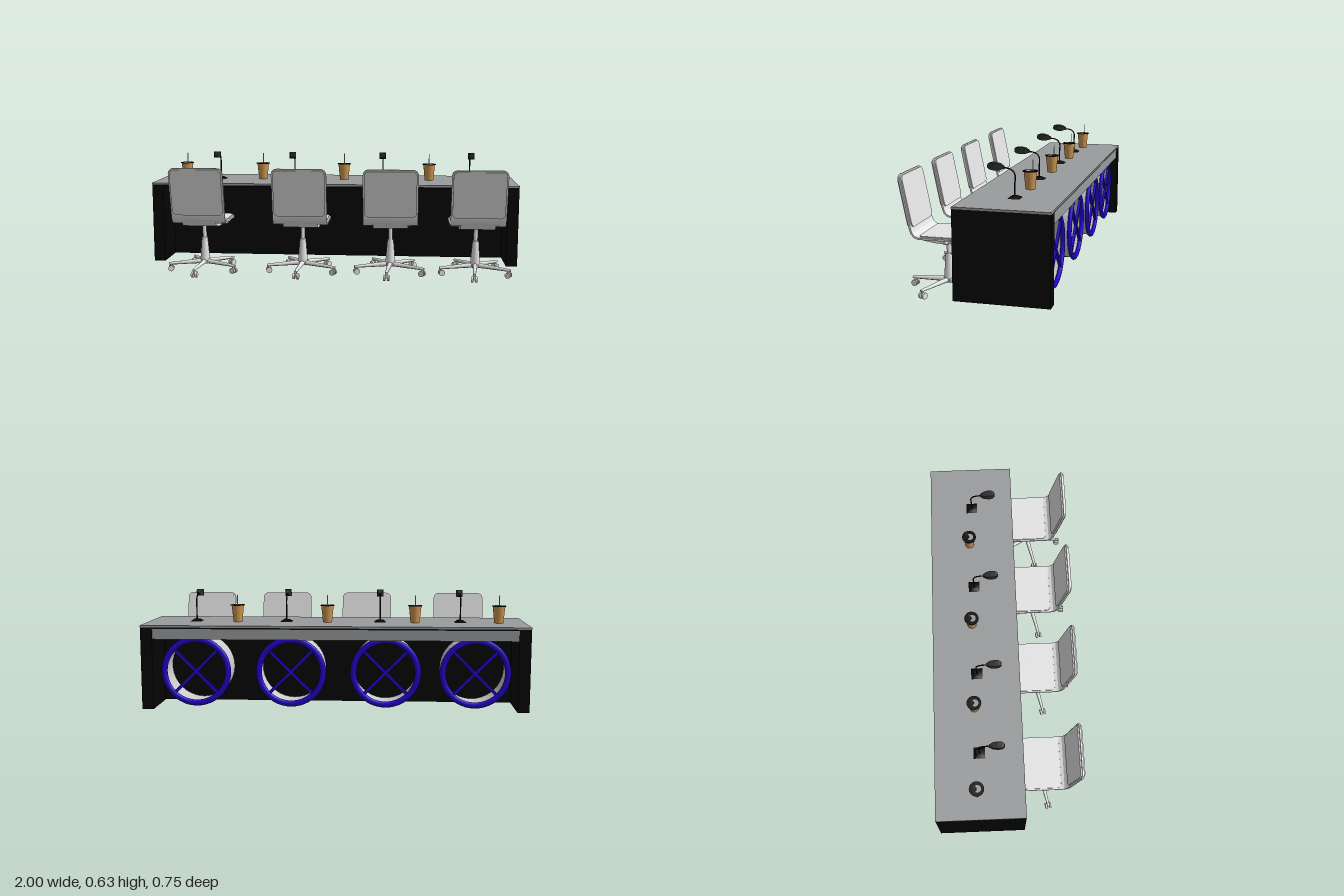
import * as THREE from 'three';

const mat = (name, color, side = THREE.FrontSide) => {
  const m = new THREE.MeshStandardMaterial({ color, side });
  m.name = name;
  return m;
};
const M = {
  black: mat('black panel', 0x040404),
  top: mat('table grey', 0x999b9d),
  frame: mat('chair frame grey', 0xe6e6e6),
  pad: mat('chair pad grey', 0xe4e4e4),
  blue: mat('ring blue', 0x2200cc),
  drum: mat('drum grey', 0xcccccc, THREE.DoubleSide),
  cup: mat('cup tan', 0xd39a52),
  mic: mat('microphone dark grey', 0x303032),
};

function add(parent, name, geo, material, x = 0, y = 0, z = 0) {
  const m = new THREE.Mesh(geo, material);
  m.name = name;
  m.position.set(x, y, z);
  parent.add(m);
  return m;
}
const box = (w, h, d) => new THREE.BoxGeometry(w, h, d);
const cyl = (rt, rb, h, n = 16) => new THREE.CylinderGeometry(rt, rb, h, n);

function group(parent, name, x = 0, y = 0, z = 0) {
  const g = new THREE.Group();
  g.name = name;
  g.position.set(x, y, z);
  parent.add(g);
  return g;
}

// Tapered rod from point a to point b
function rod(parent, name, a, b, ra, rb, material, n = 8) {
  const A = new THREE.Vector3(...a), B = new THREE.Vector3(...b);
  const dir = B.clone().sub(A);
  const m = add(parent, name, cyl(rb, ra, dir.length(), n), material);
  m.position.copy(A).add(B).multiplyScalar(0.5);
  m.quaternion.setFromUnitVectors(new THREE.Vector3(0, 1, 0), dir.normalize());
}

// Side profile of the chair shell (z, y), from top of back to front of seat
const profile = new THREE.Path();
profile.moveTo(0.190, 0.577);
profile.lineTo(0.139, 0.325);
profile.quadraticCurveTo(0.130, 0.281, 0.095, 0.281);
profile.lineTo(-0.145, 0.281);

// Bent slab following the profile between u0 and u1, with rounded ends
function slab(u0, u1, W, lo, hi, r) {
  const n = 48, len = profile.getLength() * (u1 - u0), pos = [], idx = [];
  for (let k = 0; k <= n; k++) {
    const s = (1 - Math.cos(Math.PI * k / n)) / 2, u = u0 + (u1 - u0) * s;
    const p = profile.getPointAt(u), t = profile.getTangentAt(u);
    const d = Math.min(r, s * len, (1 - s) * len);
    const w = W - r + Math.sqrt(Math.max(0, r * r - (r - d) ** 2));
    for (const [x, o] of [[-w, lo], [w, lo], [w, hi], [-w, hi]]) {
      pos.push(x, p.y - t.x * o, p.x + t.y * o);
    }
    if (k < n) for (let i = 0; i < 4; i++) {
      const a = k * 4 + i, b = k * 4 + (i + 1) % 4;
      idx.push(a, a + 4, b + 4, a, b + 4, b);
    }
  }
  const e = n * 4;
  idx.push(0, 1, 2, 0, 2, 3, e, e + 2, e + 1, e, e + 3, e + 2);
  const g = new THREE.BufferGeometry();
  g.setAttribute('position', new THREE.Float32BufferAttribute(pos, 3));
  g.setIndex(idx);
  const flat = g.toNonIndexed();
  flat.computeVertexNormals();
  return flat;
}

function chair(parent, x) {
  const c = group(parent, 'chair', x, 0, 0.175);
  add(c, 'chairShell', slab(0, 1, 0.142, -0.006, 0.003, 0.03), M.frame);
  add(c, 'backPadInner', slab(0.012, 0.45, 0.134, 0.004, 0.011, 0.025), M.pad);
  add(c, 'backPadOuter', slab(0.012, 0.45, 0.134, -0.013, -0.007, 0.025), M.pad);
  add(c, 'seatPad', slab(0.565, 0.99, 0.134, 0.004, 0.010, 0.025), M.pad);

  // Mechanism under the seat
  const s = new THREE.Shape([[0.13, 0.285], [0.11, 0.262], [0.04, 0.25], [-0.03, 0.247],
    [-0.06, 0.272], [0.09, 0.274]].map(p => new THREE.Vector2(-p[0], p[1])));
  const mech = add(c, 'seatMechanism',
    new THREE.ExtrudeGeometry(s, { depth: 0.18, bevelEnabled: false }), M.frame, -0.09);
  mech.rotation.y = Math.PI / 2;
  for (const sx of [-1, 1]) {
    rod(c, 'knob', [sx * 0.09, 0.26, -0.022], [sx * 0.125, 0.26, -0.022], 0.01, 0.007, M.frame, 6);
  }

  // Column and five-legged base, turned slightly
  add(c, 'gasLift', cyl(0.011, 0.011, 0.08), M.frame, 0, 0.215, 0);
  add(c, 'columnSleeve', cyl(0.016, 0.026, 0.12), M.frame, 0, 0.122, 0);
  add(c, 'hub', cyl(0.026, 0.024, 0.025), M.frame, 0, 0.052, 0);
  for (let i = 0; i < 5; i++) {
    const leg = group(c, 'leg');
    leg.rotation.y = i * Math.PI * 2 / 5 - 0.096;
    rod(leg, 'legArm', [0, 0.052, 0.01], [0, 0.041, 0.195], 0.014, 0.007, M.frame, 6);
    add(leg, 'casterStem', cyl(0.006, 0.006, 0.03, 8), M.frame, 0, 0.028, 0.183);
    for (const sx of [-1, 1]) {
      const w = add(leg, 'casterWheel', cyl(0.016, 0.016, 0.011, 12), M.frame, sx * 0.01, 0.016, 0.183);
      w.rotation.z = Math.PI / 2;
    }
  }
}

function cup(parent, x) {
  const c = group(parent, 'cup', x, 0.463, -0.165);
  add(c, 'cupBody', cyl(0.033, 0.024, 0.088, 20), M.cup, 0, 0.044, 0);
  add(c, 'cupLid', cyl(0.038, 0.038, 0.003, 20), M.black, 0, 0.0885, 0);
  const patch = add(c, 'lidOpening', new THREE.CircleGeometry(0.019, 16, Math.PI * 0.8, Math.PI * 1.4),
    M.top, 0, 0.0905, 0.004);
  patch.rotation.x = -Math.PI / 2;
  add(c, 'straw', cyl(0.0025, 0.0025, 0.055, 8), M.frame, 0, 0.117, -0.012);
}

function microphone(parent, x) {
  const g = group(parent, 'microphone', x, 0.463, -0.147);
  const base = add(g, 'microphoneBase', cyl(0.018, 0.042, 0.012, 4), M.black, 0, 0.006, 0);
  base.rotation.y = Math.PI / 4;
  const path = new THREE.CatmullRomCurve3([[0, 0.01, 0], [0, 0.06, 0], [0, 0.112, 0],
    [0, 0.13, 0.012], [0, 0.138, 0.03], [0, 0.141, 0.055]].map(p => new THREE.Vector3(...p)));
  add(g, 'gooseneck', new THREE.TubeGeometry(path, 24, 0.0035, 8), M.black);
  // Square-sectioned bulb
  const bulb = [[0, 0], [0.009, 0], [0.021, 0.02], [0.025, 0.045], [0.022, 0.066], [0.013, 0.078], [0, 0.079]];
  const geo = new THREE.LatheGeometry(bulb.map(p => new THREE.Vector2(...p)), 4, Math.PI / 4).toNonIndexed();
  geo.computeVertexNormals();
  const head = add(g, 'microphoneHead', geo, M.mic, 0, 0.142, 0.052);
  head.rotation.x = Math.PI / 2 - 0.09;
}

// Open drum with a blue crossed ring facing the back
function drum(parent, x) {
  const g = group(parent, 'ringDrum', x, 0.22, -0.335);
  const wall = add(g, 'drumWall', new THREE.CylinderGeometry(0.17, 0.17, 0.19, 40, 1, true), M.drum, 0, 0, 0.096);
  wall.rotation.x = Math.PI / 2;
  const ring = add(g, 'blueRing', new THREE.TorusGeometry(0.167, 0.016, 10, 48), M.blue);
  ring.scale.z = 0.7;
  for (const a of [-1, 1]) {
    const bar = add(g, 'crossBar', box(0.33, 0.016, 0.014), M.blue);
    bar.rotation.z = a * Math.PI / 4;
  }
}

export function createModel() {
  const model = new THREE.Group();
  model.name = 'conferenceDesk';

  // Desk
  const desk = group(model, 'desk');
  add(desk, 'tableTop', box(2, 0.01, 0.457), M.top, 0, 0.458, -0.1485);
  add(desk, 'underBoard', box(1.88, 0.008, 0.45), M.black, 0, 0.449, -0.147);
  for (const s of [-1, 1]) {
    add(desk, 'sidePanel', box(0.06, 0.428, 0.456), M.black, s * 0.969, 0.239, -0.1485);
  }
  add(desk, 'modestyPanel', box(1.87, 0.423, 0.02), M.black, 0, 0.2415, -0.13);
  add(desk, 'backApron', box(1.878, 0.062, 0.015), M.top, 0, 0.422, -0.363);

  [0.765, 0.315, -0.155, -0.69].forEach(x => chair(model, x));
  [0.525, 0.045, -0.42, -0.86].forEach(x => cup(model, x));
  [0.75, 0.265, -0.235, -0.66].forEach(x => microphone(model, x));
  [0.72, 0.225, -0.265, -0.725].forEach(x => drum(model, x));
  return model;
}
